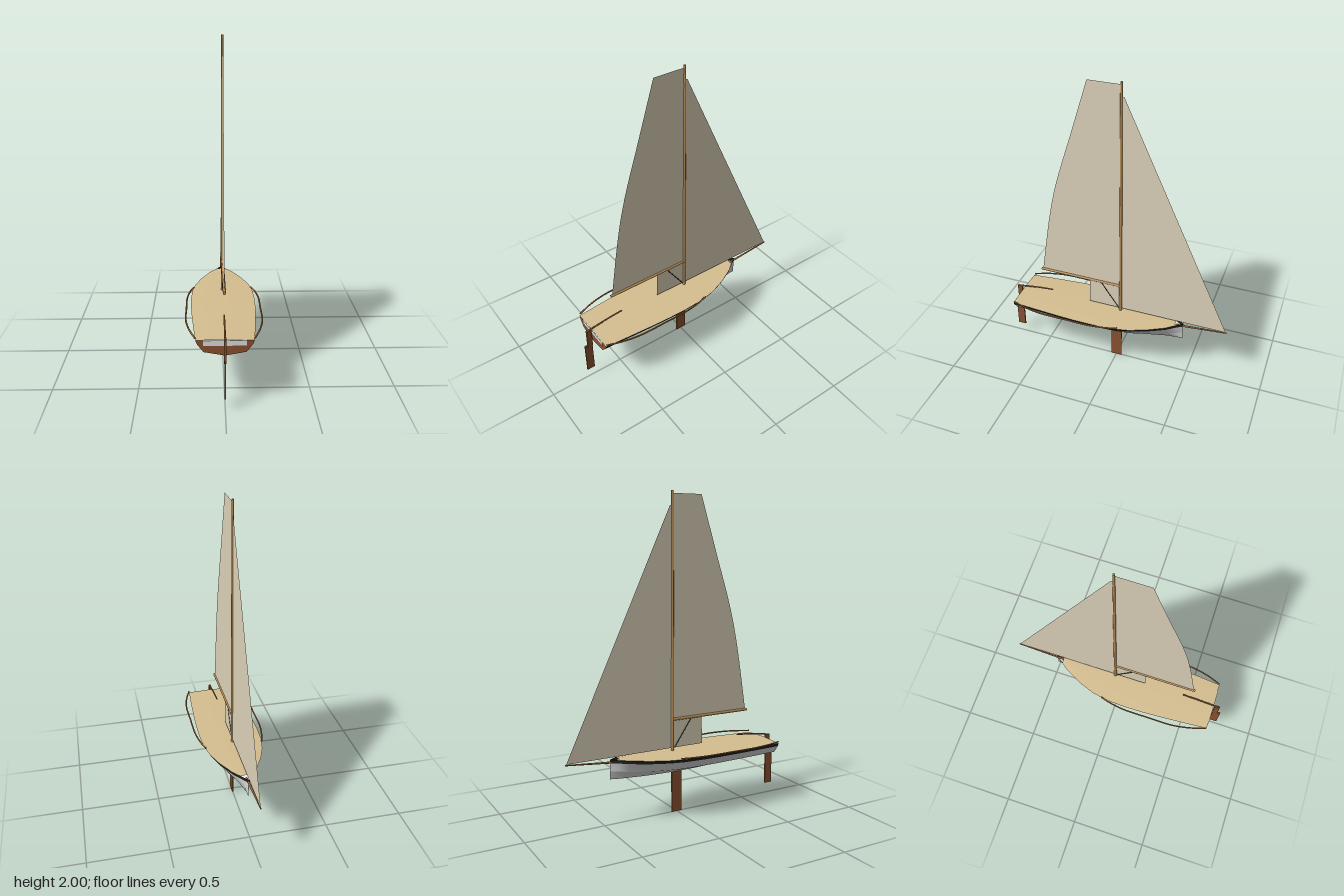
import * as THREE from 'three';

const paint = (name, color, side = THREE.FrontSide) => {
  const m = new THREE.MeshStandardMaterial({ color, side });
  m.name = name;
  return m;
};

// Stations from bow to stern: z, half beam at sheer, chine x, chine y, keel y
const STATIONS = [
  [-0.46, 0.001, 0.0005, 0.335, 0.286],
  [-0.41, 0.036, 0.018, 0.331, 0.281],
  [-0.36, 0.075, 0.04, 0.328, 0.277],
  [-0.245, 0.134, 0.08, 0.322, 0.27],
  [-0.14, 0.172, 0.105, 0.318, 0.266],
  [-0.04, 0.192, 0.118, 0.315, 0.263],
  [0.1, 0.198, 0.123, 0.314, 0.263],
  [0.22, 0.196, 0.124, 0.314, 0.267],
  [0.336, 0.19, 0.123, 0.315, 0.273],
  [0.53, 0.176, 0.121, 0.317, 0.286],
  [0.68, 0.163, 0.119, 0.32, 0.298],
];
const sheerY = (z) => 0.397 - 0.0115 * z + (z < 0 ? 0.028 * z * z : 0);

// Half cross-section: keel, chine, lower edge of the stripe, sheer
function section([z, beam, cx, cy, ky]) {
  const y = sheerY(z);
  return [[0, ky, z], [cx, cy, z], [beam - (beam - cx) * 0.17, y - 0.021, z], [beam, y, z]];
}

// Surface through rows of points
function loft(rows) {
  const n = rows[0].length, index = [];
  for (let i = 0; i < rows.length - 1; i++)
    for (let j = 0; j < n - 1; j++) {
      const a = i * n + j, b = a + n;
      index.push(a, b, a + 1, b, b + 1, a + 1);
    }
  const g = new THREE.BufferGeometry();
  g.setAttribute('position', new THREE.Float32BufferAttribute(rows.flat(2), 3));
  g.setIndex(index);
  g.computeVertexNormals();
  return g;
}

export function createModel() {
  const boat = new THREE.Group();
  boat.name = 'sailboat';
  const D = THREE.DoubleSide;
  const white = paint('hullWhite', 0xe2e2e2, D);
  const black = paint('stripeBlack', 0x20251f, D);
  const deckTan = paint('deckTan', 0xd6bf91, D);
  const sailCloth = paint('sailCloth', 0xdfd5bc, D);
  const brown = paint('rudderBrown', 0x8b5230, D);
  const spar = paint('sparWood', 0xb58a52, D);
  const trim = paint('trimWood', 0xa06a38, D);

  const add = (name, geometry, material, parent = boat) => {
    const mesh = new THREE.Mesh(geometry, material);
    mesh.name = name;
    parent.add(mesh);
    return mesh;
  };
  const box = (name, x, y0, y1, z0, z1, mat) =>
    add(name, new THREE.BoxGeometry(x, y1 - y0, z1 - z0), mat)
      .position.set(0, (y0 + y1) / 2, (z0 + z1) / 2);
  // Straight round spar between two points
  const rod = (name, a, b, r0, r1, mat) => {
    const p = new THREE.Vector3(...a), q = new THREE.Vector3(...b);
    const d = q.clone().sub(p);
    const m = add(name, new THREE.CylinderGeometry(r1, r0, d.length(), 12), mat);
    m.position.copy(p).add(q).multiplyScalar(0.5);
    m.quaternion.setFromUnitVectors(new THREE.Vector3(0, 1, 0), d.normalize());
  };
  const tube = (name, pts, r, mat) =>
    add(name, new THREE.TubeGeometry(
      new THREE.CatmullRomCurve3(pts.map((p) => new THREE.Vector3(...p))), 24, r, 8), mat);

  // Hull: separate strips keep the chines sharp
  const hull = new THREE.Group();
  hull.name = 'hull';
  boat.add(hull);
  const sections = STATIONS.map(section);
  ['bottom', 'topside', 'stripe'].forEach((name, k) => {
    for (const s of [1, -1]) {
      const rows = sections.map((sec) => {
        const pair = [sec[k], sec[k + 1]].map(([x, y, z]) => [s * x, y, z]);
        return s > 0 ? pair.reverse() : pair;
      });
      // Row order runs bow to stern, so corners are turned to face outward
      add(name + (s > 0 ? 'Left' : 'Right'),
        loft(rows.map((r) => r.slice().reverse()).reverse()), k === 2 ? black : white, hull);
    }
  });

  // Deck with a slight camber, stopping short of the stem
  add('deck', loft(STATIONS.slice(1).map(([z, b]) => {
    const y = sheerY(z);
    return [[-b, y, z], [0, y + 0.006, z], [b, y, z]];
  })), deckTan);

  // Transom and its pale panel
  const stern = sections[sections.length - 1];
  const outline = [...stern, ...stern.slice(1).reverse().map(([x, y, z]) => [-x, y, z])];
  add('transom', new THREE.ShapeGeometry(
    new THREE.Shape(outline.map(([x, y]) => new THREE.Vector2(x, y)))), brown).position.z = 0.68;
  box('transomPanel', 0.24, 0.358, 0.389, 0.679, 0.683, white);

  // Side rails standing just outside the hull
  for (const s of [1, -1])
    tube(s > 0 ? 'railLeft' : 'railRight', [
      [0.185, 0.404, -0.07], [0.205, 0.405, 0], [0.221, 0.406, 0.11], [0.222, 0.406, 0.28],
      [0.221, 0.406, 0.45], [0.2, 0.404, 0.57], [0.165, 0.4, 0.675],
    ].map(([x, y, z]) => [s * x, y, z]), 0.005, trim);

  // Spars and rigging
  rod('mast', [0, 0.39, -0.029], [0, 2, -0.029], 0.01, 0.007, spar);
  rod('boom', [0, 0.603, -0.025], [0, 0.603, 0.53], 0.009, 0.009, spar);
  rod('bowsprit', [0, 0.386, -0.41], [0, 0.416, -0.742], 0.007, 0.004, trim);
  rod('boomVang', [0, 0.595, 0.105], [0, 0.42, -0.015], 0.003, 0.003, black);

  // Sails, drawn as [z, y] outlines in the centre plane
  const sail = (name, points, x) => {
    const shape = new THREE.Shape(points.map(([z, y]) => new THREE.Vector2(-z, y)));
    const m = add(name, new THREE.ShapeGeometry(shape), sailCloth);
    m.rotation.y = Math.PI / 2;
    m.position.x = x;
  };
  const leech = new THREE.SplineCurve([
    [0.521, 0.605], [0.456, 1.01], [0.393, 1.29], [0.286, 1.63], [0.175, 1.985],
  ].map((p) => new THREE.Vector2(...p))).getPoints(20).map((v) => [v.x, v.y]);
  sail('mainsail', [[-0.025, 0.605], ...leech, [-0.025, 1.985]], 0);
  sail('jib', [[-0.737, 0.42], [0.188, 0.42], [0.184, 0.59], [0.15, 0.9],
    [-0.025, 1.913], [-0.046, 1.913]], 0.0005);

  // Centreboard, rudder and tiller
  box('centreboard', 0.008, 0, 0.3, -0.037, 0.034, brown);
  box('rudderBlade', 0.009, 0.068, 0.286, 0.692, 0.745, brown);
  box('rudderHead', 0.014, 0.27, 0.41, 0.69, 0.724, brown);
  tube('tiller', [[0, 0.406, 0.725], [0, 0.42, 0.64], [0, 0.432, 0.55], [0, 0.44, 0.46]], 0.005, trim);

  return boat;
}
